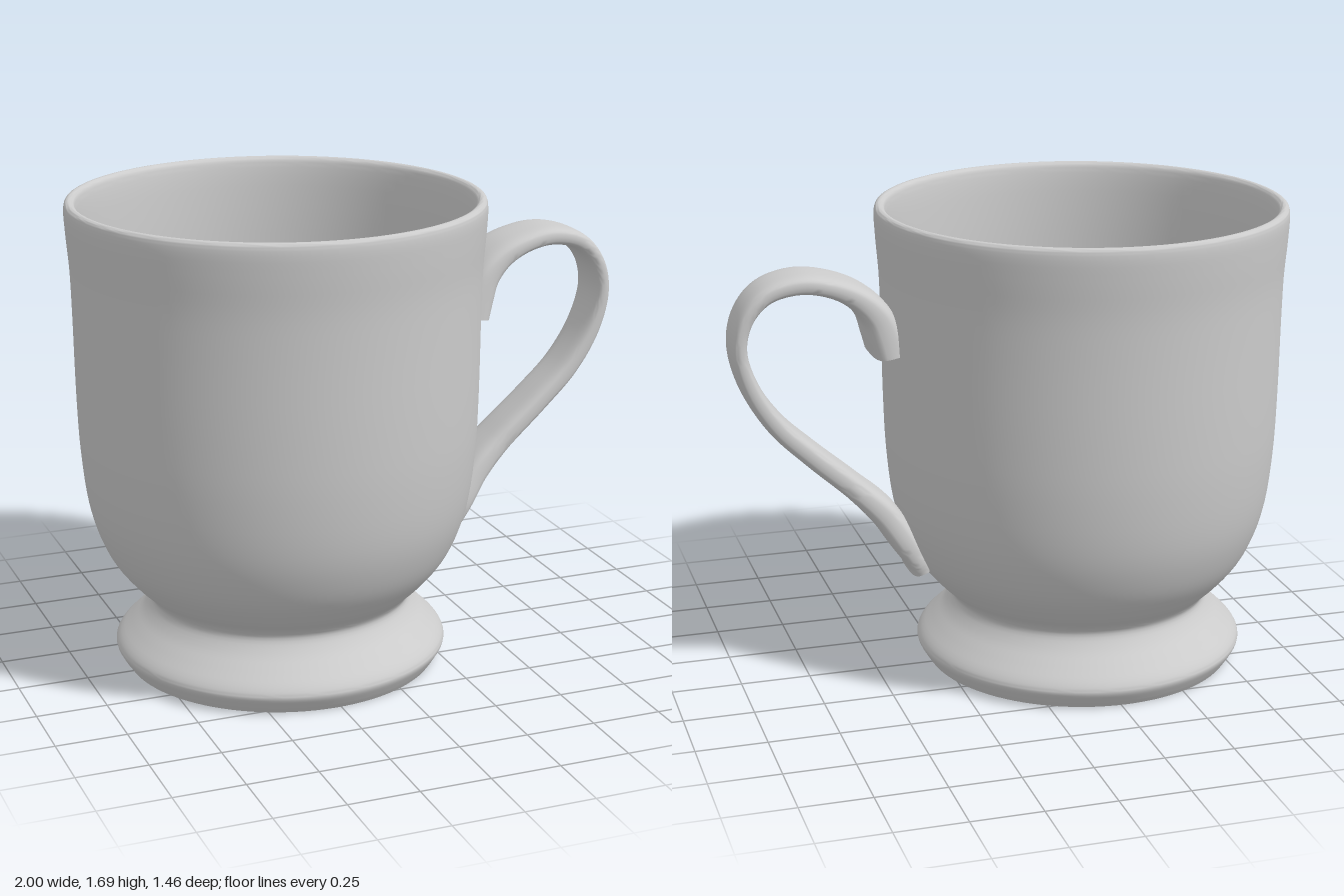
import * as THREE from 'three';
import { toCreasedNormals } from 'three/addons/utils/BufferGeometryUtils.js';

const AXIS_X = -0.27; // the cup stands off-centre to make room for the handle

const material = new THREE.MeshStandardMaterial({ color: 0xcccccc });

function smooth(points, count) {
  const curve = new THREE.CatmullRomCurve3(points.map(([x, y]) => new THREE.Vector3(x, y, 0)));
  return curve.getPoints(count).map(p => new THREE.Vector2(p.x, p.y));
}

// Foot, bowl wall, lip and inside in one turned profile
function makeCup() {
  const wall = smooth([
    [0.56, 0], [0.58, 0.03], [0.597, 0.065], [0.588, 0.09], [0.54, 0.14], [0.492, 0.19],
    [0.468, 0.235], [0.483, 0.265], [0.53, 0.31], [0.603, 0.4], [0.65, 0.5], [0.68, 0.61],
    [0.702, 0.8], [0.71, 1.0], [0.714, 1.3], [0.718, 1.45], [0.728, 1.58], [0.731, 1.665],
    [0.725, 1.685], [0.71, 1.69], [0.697, 1.682], [0.688, 1.65], [0.678, 1.5], [0.674, 1.3],
    [0.67, 1.0], [0.66, 0.8], [0.635, 0.61], [0.6, 0.5], [0.55, 0.4], [0.485, 0.325], [0.42, 0.28],
  ], 120);
  const profile = [
    new THREE.Vector2(0, 0.01), new THREE.Vector2(0.44, 0.01), new THREE.Vector2(0.5, 0),
    ...wall, new THREE.Vector2(0, 0.28),
  ];
  const mesh = new THREE.Mesh(toCreasedNormals(new THREE.LatheGeometry(profile, 96), 0.6), material);
  mesh.name = 'cup';
  mesh.position.x = AXIS_X;
  return mesh;
}

// Flat strap swept along a loop, flaring into a pad at each end
function makeHandle() {
  // x, y, half thickness, half width
  const stations = [
    [0.45, 1.205, 0.056, 0.14], [0.462, 1.27, 0.062, 0.135], [0.495, 1.35, 0.055, 0.128],
    [0.56, 1.415, 0.044, 0.12], [0.65, 1.458, 0.037, 0.115], [0.76, 1.475, 0.035, 0.107],
    [0.875, 1.445, 0.032, 0.1], [0.945, 1.37, 0.029, 0.097], [0.972, 1.26, 0.028, 0.095],
    [0.938, 1.12, 0.032, 0.094], [0.85, 0.975, 0.036, 0.093], [0.725, 0.85, 0.039, 0.093],
    [0.58, 0.72, 0.042, 0.095], [0.475, 0.615, 0.05, 0.11], [0.405, 0.51, 0.05, 0.127],
    [0.36, 0.43, 0.042, 0.127], [0.348, 0.39, 0.036, 0.118],
  ];
  const path = new THREE.CatmullRomCurve3(stations.map(s => new THREE.Vector3(s[0], s[1], 0)));
  const sizes = new THREE.CatmullRomCurve3(stations.map(s => new THREE.Vector3(s[2], s[3], 0)));
  const rings = 96, sides = 32;
  const positions = [], index = [];

  const addRing = (t, scale) => {
    const c = path.getPoint(t), d = path.getTangent(t), size = sizes.getPoint(t);
    for (let j = 0; j < sides; j++) {
      const a = (j / sides) * Math.PI * 2;
      const round = v => Math.sign(v) * Math.abs(v) ** 0.6; // rounded-rectangle section
      const n = round(Math.cos(a)) * size.x * scale;
      const w = round(Math.sin(a)) * size.y * scale;
      positions.push(c.x - d.y * n, c.y + d.x * n, w);
    }
  };
  // Rounded end, strap, rounded end
  const sections = [[0, 0.001], [0, 0.85]];
  for (let i = 0; i <= rings; i++) {
    const t = i / rings;
    sections.push([t === 0 ? 0.003 : t === 1 ? 0.997 : t, 1]);
  }
  sections.push([1, 0.85], [1, 0.001]);
  sections.forEach(([t, scale]) => addRing(t, scale));

  for (let i = 0; i < sections.length - 1; i++) {
    for (let j = 0; j < sides; j++) {
      const a = i * sides + j, b = i * sides + ((j + 1) % sides);
      index.push(a, b, a + sides, b, b + sides, a + sides);
    }
  }
  const geometry = new THREE.BufferGeometry();
  geometry.setAttribute('position', new THREE.Float32BufferAttribute(positions, 3));
  geometry.setIndex(index);
  const mesh = new THREE.Mesh(toCreasedNormals(geometry, 0.9), material);
  mesh.name = 'handle';
  return mesh;
}

export function createModel() {
  const mug = new THREE.Group();
  mug.name = 'footedMug';
  mug.add(makeCup(), makeHandle());
  return mug;
}
